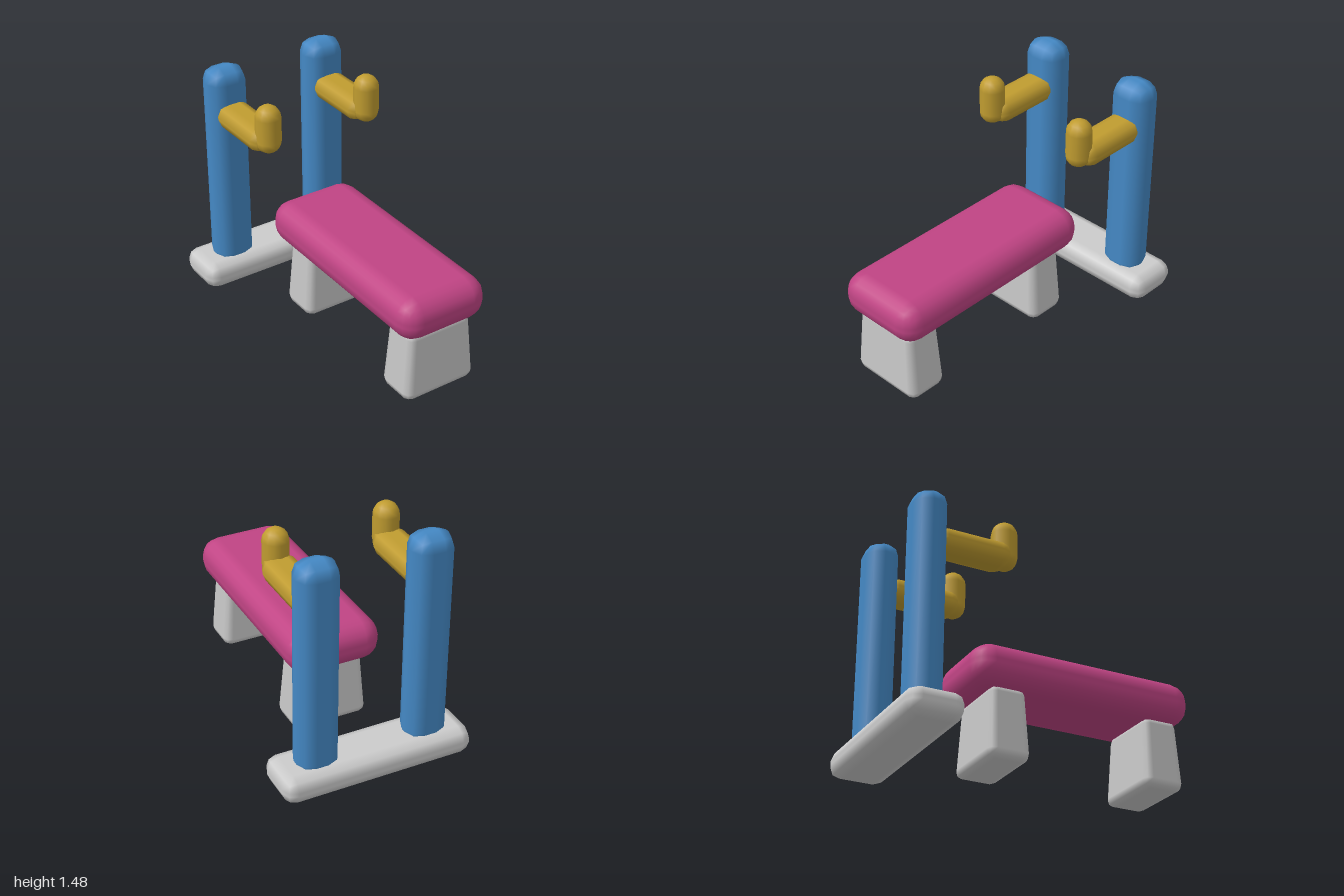
import * as THREE from 'three';
import { RoundedBoxGeometry } from 'three/addons/geometries/RoundedBoxGeometry.js';

const mat = (color) => new THREE.MeshStandardMaterial({ color });

// Soft box filling exactly the given [min, max] ranges, optionally narrowing towards the top.
function softBox(name, material, [x0, x1], [y0, y1], [z0, z1], radius, segments = 1, taperX = 1, taperZ = 1) {
  const size = new THREE.Vector3(x1 - x0, y1 - y0, z1 - z0);
  const geo = new RoundedBoxGeometry(size.x, size.y, size.z, segments, radius);
  geo.computeBoundingBox();
  const real = geo.boundingBox.getSize(new THREE.Vector3());
  geo.scale(size.x / real.x, size.y / real.y, size.z / real.z);
  if (taperX !== 1 || taperZ !== 1) {
    const p = geo.attributes.position;
    for (let i = 0; i < p.count; i++) {
      const t = p.getY(i) / size.y + 0.5;
      p.setX(i, p.getX(i) * (1 + (taperX - 1) * t));
      p.setZ(i, p.getZ(i) * (1 + (taperZ - 1) * t));
    }
  }
  geo.computeBoundingBox();
  const mesh = new THREE.Mesh(geo, material);
  mesh.name = name;
  mesh.position.set((x0 + x1) / 2, (y0 + y1) / 2, (z0 + z1) / 2);
  return mesh;
}

export function createModel() {
  const group = new THREE.Group();
  group.name = 'weightBench';
  const grey = mat(0xcccccc);
  const blue = mat(0x4488c4);
  const gold = mat(0xc09c30);
  const pink = mat(0xc04484);

  // Padded seat
  group.add(softBox('benchPad', pink, [-0.295, 0.295], [0.43, 0.697], [-0.457, 1], 0.12, 2));

  // Tapered legs under the pad
  group.add(softBox('frontLeg', grey, [-0.247, 0.247], [0, 0.46], [0.678, 0.947], 0.05, 1, 0.85, 0.84));
  group.add(softBox('backLeg', grey, [-0.247, 0.247], [0, 0.46], [-0.35, -0.081], 0.05, 1, 0.85, 0.84));

  // Foot bar of the rack
  group.add(softBox('rackBase', grey, [-0.608, 0.608], [0.004, 0.177], [-1, -0.656], 0.075));

  // Uprights, each with an arm and a raised hook end
  for (const [side, s] of [['left', 1], ['right', -1]]) {
    const rack = new THREE.Group();
    rack.name = side + 'Rack';
    const x = s * 0.35;
    rack.add(softBox(side + 'Post', blue, [x - 0.13, x + 0.13], [0.1, 1.48], [-0.932, -0.72], 0.092));
    rack.add(softBox(side + 'Arm', gold, [x - 0.105, x + 0.105], [1.108, 1.263], [-0.8, -0.307], 0.07));
    const hook = new THREE.Mesh(new THREE.CapsuleGeometry(0.079, 0.153, 4, 12), gold);
    hook.name = side + 'Hook';
    hook.position.set(x, 1.267, -0.327);
    rack.add(hook);
    group.add(rack);
  }
  return group;
}
